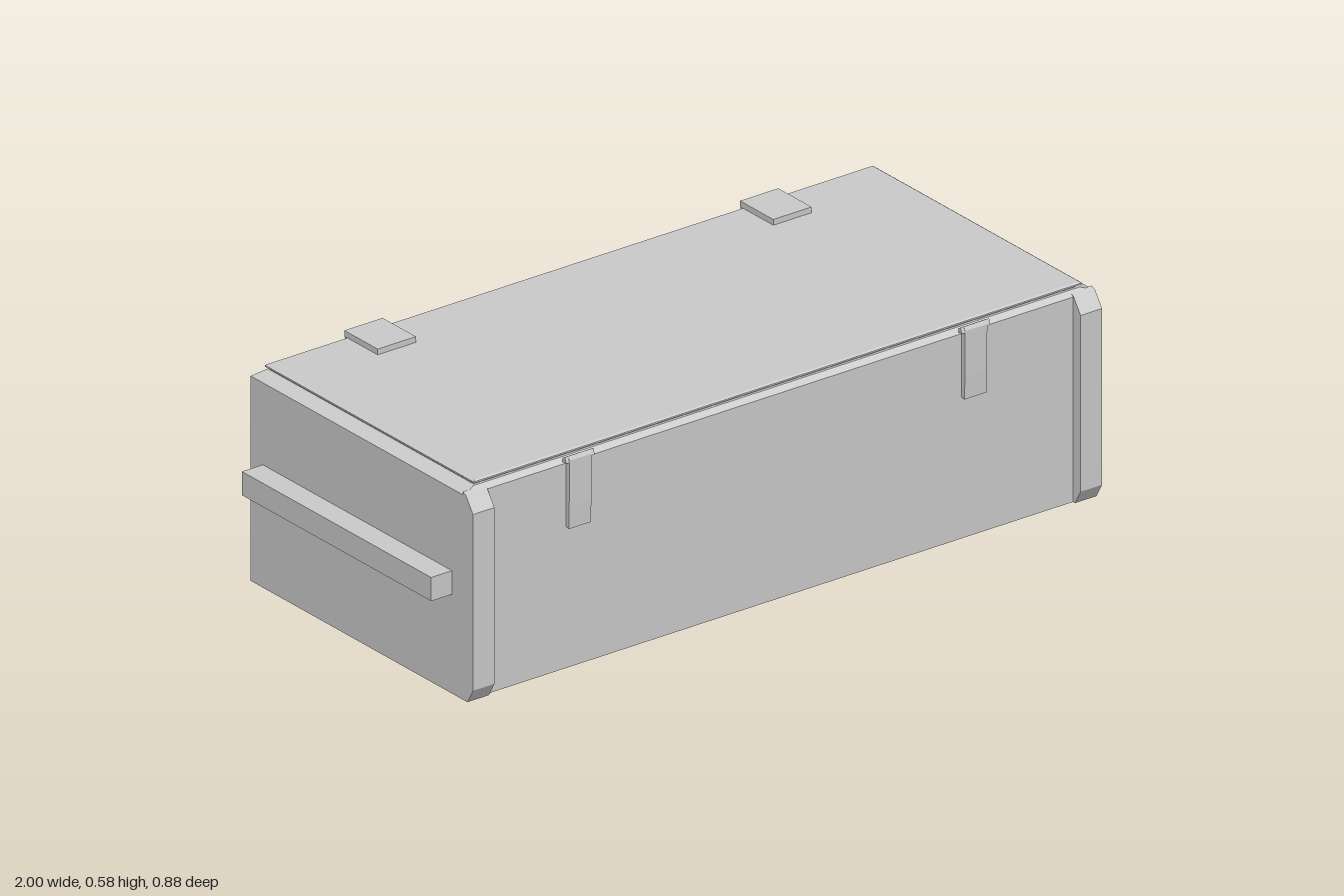
import * as THREE from 'three';

const material = new THREE.MeshStandardMaterial({ color: 0xcccccc, flatShading: true });

function add(parent, name, geometry, x = 0, y = 0, z = 0) {
  const mesh = new THREE.Mesh(geometry, material);
  mesh.name = name;
  mesh.position.set(x, y, z);
  parent.add(mesh);
  return mesh;
}

// Closed solid through stacked rectangles: [y, halfWidth, backZ, frontZ]
function stack(levels) {
  const rings = levels.map(([y, x, z0, z1]) => [[-x, y, z1], [x, y, z1], [x, y, z0], [-x, y, z0]]);
  const out = [];
  const quad = (a, b, c, d) => out.push(...a, ...b, ...c, ...a, ...c, ...d);
  for (let r = 0; r < rings.length - 1; r++) {
    const lo = rings[r], hi = rings[r + 1];
    for (let i = 0; i < 4; i++) {
      const j = (i + 1) % 4;
      quad(lo[i], lo[j], hi[j], hi[i]);
    }
  }
  quad(...rings[rings.length - 1]);
  quad(...[...rings[0]].reverse());
  const geometry = new THREE.BufferGeometry();
  geometry.setAttribute('position', new THREE.Float32BufferAttribute(out, 3));
  geometry.computeVertexNormals();
  return geometry;
}

// Side profile of [z, y] points, extruded across x and centred
function profile(points, width) {
  const shape = new THREE.Shape(points.map(([z, y]) => new THREE.Vector2(z, y)));
  const geometry = new THREE.ExtrudeGeometry(shape, { depth: width, bevelEnabled: false });
  geometry.translate(0, 0, -width / 2);
  geometry.rotateY(-Math.PI / 2);
  return geometry;
}

export function createModel() {
  const group = new THREE.Group();
  group.name = 'storageCase';

  // Box with a chamfered upper rim
  add(group, 'body', stack([
    [0, 0.938, -0.427, 0.41],
    [0.537, 0.938, -0.427, 0.41],
    [0.55, 0.905, -0.412, 0.397],
  ]));

  // Thin lid with an undercut edge
  add(group, 'lid', stack([
    [0.548, 0.898, -0.405, 0.39],
    [0.554, 0.898, -0.405, 0.39],
    [0.558, 0.907, -0.412, 0.402],
    [0.562, 0.907, -0.412, 0.402],
    [0.565, 0.902, -0.408, 0.397],
  ]));

  // Front corner posts and side handles
  const post = profile([
    [0.40, 0], [0.418, 0], [0.44, 0.038], [0.44, 0.50], [0.412, 0.54], [0.40, 0.545],
  ], 0.064);
  const handle = new THREE.BoxGeometry(0.064, 0.062, 0.738);
  for (const [label, s] of [['left', 1], ['right', -1]]) {
    add(group, label + 'CornerPost', post, s * 0.906);
    add(group, label + 'Handle', handle, s * 0.968, 0.291, -0.011);
  }

  // Tapering clip strap with a bevelled top and a wider head
  const strap = profile([
    [-0.002, 0.373], [0.01, 0.37], [0.0115, 0.43], [0.0125, 0.55],
    [0.007, 0.56], [-0.002, 0.555],
  ], 0.066);
  const head = profile([[-0.002, 0.545], [0.0125, 0.545], [0.007, 0.56], [-0.002, 0.555]], 0.085);
  const plate = new THREE.BoxGeometry(0.114, 0.016, 0.13);

  for (const [label, x] of [['left', 0.573], ['right', -0.607]]) {
    for (const [end, z, turn] of [['Front', 0.414, 0], ['Back', -0.426, Math.PI]]) {
      const clip = new THREE.Group();
      clip.name = label + end + 'Clip';
      clip.position.set(x, 0, z);
      clip.rotation.y = turn;
      add(clip, 'strap', strap);
      add(clip, 'head', head);
      group.add(clip);
    }
    // Flat hinge plate resting on the lid
    add(group, label + 'HingePlate', plate, x, 0.572, -0.355);
  }
  return group;
}
